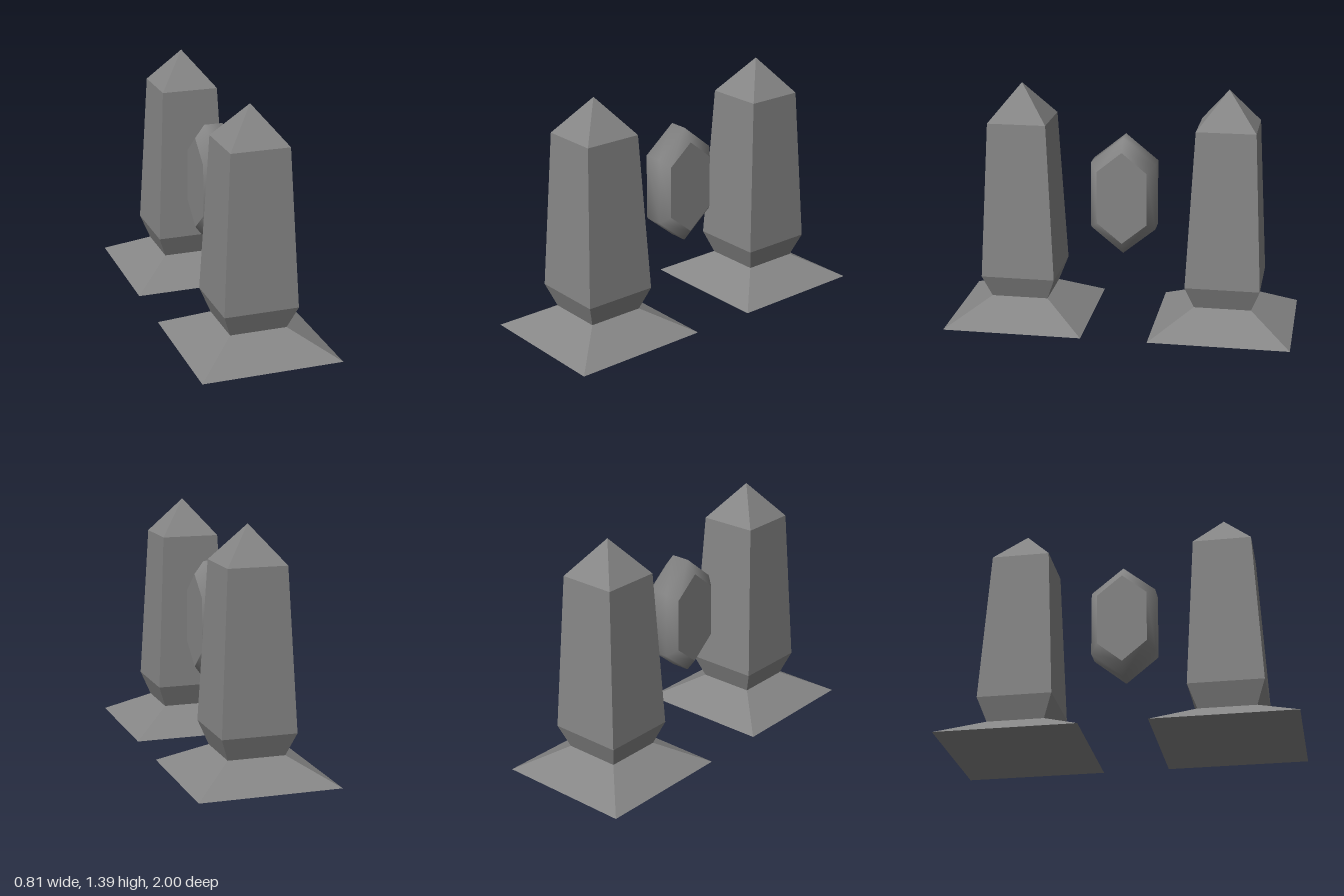
import * as THREE from 'three';

const stone = new THREE.MeshStandardMaterial({ color: 0x868686, flatShading: true });
const polished = new THREE.MeshStandardMaterial({ color: 0x868686 });

// Four-sided obelisk: flared foot, narrow neck, tapering shaft, pointed cap
function makeObelisk(z, name) {
  const profile = [[0, 0], [0.404, 0], [0.165, 0.138], [0.215, 0.27], [0.169, 1.18], [0, 1.39]];
  const points = profile.map(([half, y]) => new THREE.Vector2(half * Math.SQRT2, y));
  const geometry = new THREE.LatheGeometry(points, 4, Math.PI / 4).toNonIndexed();
  geometry.computeVertexNormals();
  const mesh = new THREE.Mesh(geometry, stone);
  mesh.name = name;
  mesh.position.z = z;
  return mesh;
}

// Elongated hexagon, counter-clockwise, from half width, half height and shoulder height
const hexagon = (w, h, s) =>
  [[w, -s], [w, s], [0, h], [-w, s], [-w, -s], [0, -h]].map(([x, y]) => new THREE.Vector2(x, y));

// Floating gem: smooth bevelled rim with a flat hexagonal face on each side
function makeGem() {
  const gem = new THREE.Group();
  gem.name = 'floatingGem';
  const inner = hexagon(0.145, 0.272, 0.153);
  const outer = hexagon(0.188, 0.346, 0.193);
  const layers = [[inner, -0.11], [outer, -0.055], [outer, 0.055], [inner, 0.11]];

  const positions = [], index = [];
  layers.forEach(([ring, depth], i) => ring.forEach((p, j) => {
    positions.push(p.x, p.y, depth);
    if (i === layers.length - 1) return;
    const a = i * 6 + j, b = i * 6 + (j + 1) % 6;
    index.push(a, b, b + 6, a, b + 6, a + 6);
  }));
  const rimGeometry = new THREE.BufferGeometry();
  rimGeometry.setAttribute('position', new THREE.Float32BufferAttribute(positions, 3));
  rimGeometry.setIndex(index);
  rimGeometry.computeVertexNormals();
  const rim = new THREE.Mesh(rimGeometry, polished);
  rim.name = 'gemRim';
  gem.add(rim);

  for (const side of [1, -1]) {
    const face = new THREE.Mesh(new THREE.ShapeGeometry(new THREE.Shape(inner)), polished);
    face.name = side > 0 ? 'gemLeftFace' : 'gemRightFace';
    face.position.z = side * 0.11;
    if (side < 0) face.rotation.y = Math.PI;
    gem.add(face);
  }

  gem.rotation.y = Math.PI / 2;
  gem.position.y = 0.753;
  return gem;
}

export function createModel() {
  const model = new THREE.Group();
  model.name = 'obeliskGate';
  model.add(makeObelisk(0.596, 'frontObelisk'), makeObelisk(-0.596, 'backObelisk'), makeGem());
  return model;
}
